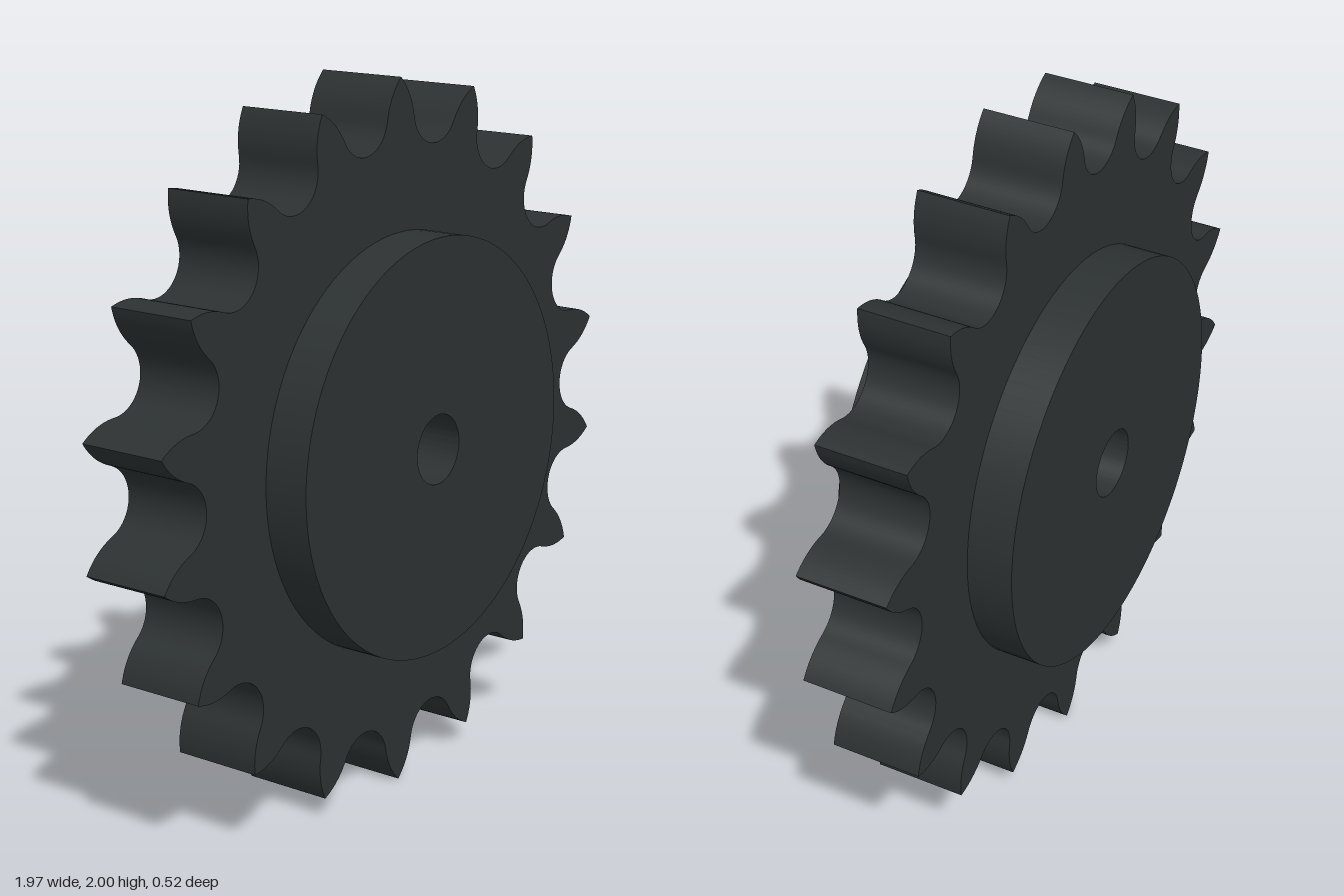
import * as THREE from 'three';
import { toCreasedNormals } from 'three/addons/utils/BufferGeometryUtils.js';

const TEETH = 18;
const PITCH_RADIUS = 0.92;
const ROLLER_RADIUS = 0.1;
const TIP_RADIUS = 1;
const BORE_RADIUS = 0.098;
const HUB_RADIUS = 0.585;

const rad = THREE.MathUtils.degToRad;
const polar = (r, a) => new THREE.Vector2(r * Math.cos(a), r * Math.sin(a));

// Closed toothed outline: one roller seat with its two flanks, repeated round the wheel
function toothedOutline() {
  const halfPitch = Math.PI / TEETH;

  // from the bottom of a seat, which lies on +x, up to the next tooth tip
  const half = [];
  for (let i = 0; i <= 10; i++) {
    const a = rad(7 * i);
    half.push(new THREE.Vector2(
      PITCH_RADIUS - ROLLER_RADIUS * Math.cos(a),
      ROLLER_RADIUS * Math.sin(a)
    ));
  }
  const flank = new THREE.QuadraticBezierCurve(
    half[10],
    polar(0.956, halfPitch - rad(2.94)),
    polar(TIP_RADIUS, halfPitch)
  );
  half.push(...flank.getPoints(10).slice(1));

  const mirrored = half.slice(1, -1).reverse().map(p => new THREE.Vector2(p.x, -p.y));
  const seat = [...mirrored, ...half];

  const points = [];
  const origin = new THREE.Vector2();
  for (let i = 0; i < TEETH; i++) {
    for (const p of seat) points.push(p.clone().rotateAround(origin, i * 2 * halfPitch));
  }
  return new THREE.Shape(points);
}

// Extrudes a shape with a round hole, centred on z = 0
function disc(name, shape, holeRadius, thickness, material) {
  shape.holes.push(new THREE.Path().absarc(0, 0, holeRadius, 0, Math.PI * 2, true));
  const geometry = new THREE.ExtrudeGeometry(shape, {
    depth: thickness,
    bevelEnabled: false,
    curveSegments: 48,
  });
  geometry.translate(0, 0, -thickness / 2);
  const mesh = new THREE.Mesh(toCreasedNormals(geometry, rad(30)), material);
  mesh.name = name;
  return mesh;
}

export function createModel() {
  const material = new THREE.MeshStandardMaterial({ color: 0x2c3132 });
  const group = new THREE.Group();
  group.name = 'sprocket';

  // Toothed ring, its inner edge hidden inside the hub
  group.add(disc('toothedPlate', toothedOutline(), HUB_RADIUS - 0.01, 0.26, material));

  // Hub standing proud on both sides, with the shaft bore
  const hubShape = new THREE.Shape().absarc(0, 0, HUB_RADIUS, 0, Math.PI * 2, false);
  group.add(disc('hub', hubShape, BORE_RADIUS, 0.52, material));

  group.position.y = TIP_RADIUS;
  return group;
}
